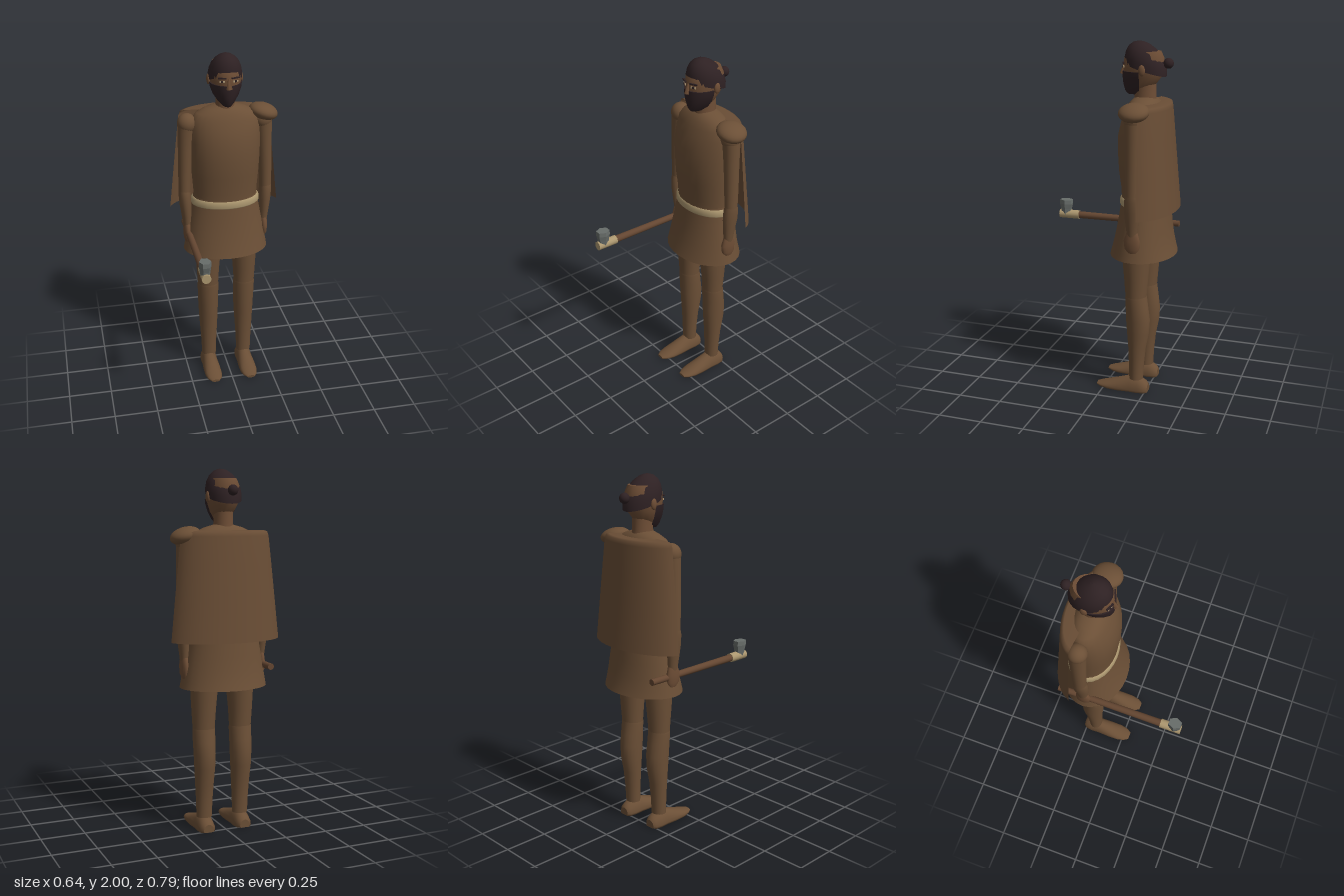
import * as THREE from 'three';

const mat = (name, color, side = THREE.FrontSide) => {
  const m = new THREE.MeshStandardMaterial({ color, side });
  m.name = name;
  return m;
};

// Lofted surface through elliptical rings: [y, cx, cz, rx, rz], bottom to top.
// tilt lifts each ring along z; a0..a1 limits it to a partial, open sweep.
function loft(rows, { n = 20, tilt = 0, a0 = 0, a1 = Math.PI * 2, caps = true } = {}) {
  const closed = a1 - a0 > 6.28, cols = closed ? n : n + 1;
  const pos = [], idx = [];
  const ring = ([y, cx, cz, rx, rz], t) => {
    for (let j = 0; j < cols; j++) {
      const a = a0 + (a1 - a0) * j / n, dz = Math.sin(a) * rz;
      pos.push(cx + Math.cos(a) * rx, y + dz * t, cz + dz);
    }
  };
  rows.forEach(r => ring(r, tilt));
  for (let i = 0; i < rows.length - 1; i++) for (let j = 0; j < n; j++) {
    const k = (j + 1) % cols, a = i * cols + j, b = i * cols + k;
    idx.push(a, a + cols, b, b, a + cols, b + cols);
  }
  if (caps) for (const top of [false, true]) {
    const r = rows[top ? rows.length - 1 : 0], s = pos.length / 3;
    ring(r, tilt);
    pos.push(r[1], r[0], r[2]);
    for (let j = 0; j < n; j++) {
      const a = s + j, b = s + (j + 1) % cols;
      idx.push(s + cols, top ? b : a, top ? a : b);
    }
  }
  const g = new THREE.BufferGeometry();
  g.setAttribute('position', new THREE.Float32BufferAttribute(pos, 3));
  g.setIndex(idx);
  g.computeVertexNormals();
  return g;
}

export function createModel() {
  const root = new THREE.Group();
  const cloth = mat('brownCloth', 0x6b4f36);
  const capeCloth = mat('capeCloth', 0x694d35, THREE.DoubleSide);
  const skin = mat('skin', 0x6d4d35);
  const hair = mat('darkHair', 0x2e2123, THREE.DoubleSide);
  const beltTan = mat('beltTan', 0xad9870);
  const wood = mat('handleWood', 0x644631);
  const steel = mat('axeSteel', 0x686d6a);
  const eyeTan = mat('eyeTan', 0xb09a78);

  const add = (name, geo, m, x = 0, y = 0, z = 0, parent = root) => {
    const o = new THREE.Mesh(geo, m);
    o.name = name;
    o.position.set(x, y, z);
    parent.add(o);
    return o;
  };
  const ball = (rx, ry, rz) => new THREE.SphereGeometry(1, 20, 14).scale(rx, ry, rz);

  // Torso, skirt and belt
  add('torso', loft([
    [1.12, 0, -0.21, 0.185, 0.13], [1.2, 0, -0.207, 0.187, 0.129], [1.3, 0, -0.203, 0.195, 0.14],
    [1.4, 0, -0.2, 0.2, 0.143], [1.5, 0, -0.2, 0.203, 0.142], [1.58, 0, -0.2, 0.2, 0.122],
    [1.63, 0, -0.2, 0.19, 0.103], [1.665, 0, -0.2, 0.165, 0.088], [1.69, 0, -0.2, 0.11, 0.068],
    [1.705, 0, -0.2, 0.055, 0.05]], { n: 28 }), cloth);
  add('skirt', loft([
    [0.82, 0, -0.203, 0.25, 0.187], [0.86, 0, -0.203, 0.243, 0.176], [0.92, 0, -0.204, 0.232, 0.162],
    [1.0, 0, -0.207, 0.217, 0.149], [1.1, 0, -0.21, 0.198, 0.136], [1.17, 0, -0.21, 0.186, 0.13]],
    { n: 28 }), cloth);
  add('belt', loft([
    [1.11, 0, -0.21, 0.195, 0.134], [1.118, 0, -0.21, 0.202, 0.14], [1.145, 0, -0.21, 0.2, 0.139],
    [1.155, 0, -0.21, 0.19, 0.132]], { n: 28 }), beltTan);

  // Cape hung from the shoulders, with its upper edge folded inward
  add('cape', loft([
    [1.08, 0, -0.2, 0.328, 0.195], [1.28, 0, -0.2, 0.307, 0.176], [1.48, 0, -0.2, 0.285, 0.158],
    [1.645, 0, -0.2, 0.266, 0.143], [1.668, 0, -0.2, 0.257, 0.138], [1.674, 0, -0.2, 0.235, 0.125],
    [1.676, 0, -0.2, 0.13, 0.07]],
    { n: 22, a0: Math.PI + 0.22, a1: Math.PI * 2 - 0.22, caps: false }), capeCloth);

  // Limbs, mirrored
  for (const s of [1, -1]) {
    const side = s > 0 ? 'left' : 'right';
    const limb = (name, rows, m = cloth) =>
      add(side + name, loft(rows.map(([y, x, ...r]) => [y, x * s, ...r])), m);
    limb('Thigh', [[0.58, 0.111, -0.189, 0.062, 0.06], [0.68, 0.111, -0.189, 0.068, 0.068],
      [0.78, 0.109, -0.188, 0.075, 0.077], [0.9, 0.107, -0.188, 0.08, 0.086]]);
    limb('Calf', [[0.075, 0.11, -0.193, 0.044, 0.04], [0.17, 0.11, -0.194, 0.047, 0.044],
      [0.27, 0.11, -0.197, 0.053, 0.051], [0.36, 0.11, -0.202, 0.058, 0.064],
      [0.44, 0.11, -0.201, 0.061, 0.069], [0.51, 0.111, -0.195, 0.063, 0.065],
      [0.575, 0.111, -0.189, 0.064, 0.062], [0.59, 0.111, -0.189, 0.061, 0.06]]);
    limb('UpperArm', [[1.16, 0.24, -0.2, 0.033, 0.037], [1.3, 0.237, -0.2, 0.037, 0.041],
      [1.45, 0.231, -0.2, 0.041, 0.044], [1.56, 0.225, -0.2, 0.047, 0.048],
      [1.61, 0.22, -0.2, 0.05, 0.052]]);
    add(side + 'Shoulder', ball(0.055, 0.058, 0.055), cloth, 0.218 * s, 1.605, -0.2);
    limb('Forearm', [[0.97, 0.228, -0.197, 0.023, 0.027], [1.04, 0.232, -0.197, 0.028, 0.036],
      [1.11, 0.236, -0.199, 0.034, 0.045], [1.17, 0.239, -0.2, 0.036, 0.045],
      [1.2, 0.24, -0.2, 0.033, 0.038]]);
    limb('Hand', [[0.875, 0.23, -0.2, 0.012, 0.024], [0.9, 0.23, -0.197, 0.02, 0.042],
      [0.945, 0.229, -0.196, 0.024, 0.046], [0.985, 0.229, -0.197, 0.021, 0.033],
      [1.0, 0.229, -0.197, 0.02, 0.026]], skin);

    // Foot lofted heel to toe, flattened at the sole
    const foot = loft([[-0.265, 0.03, 0.045], [-0.25, 0.044, 0.065], [-0.21, 0.05, 0.09],
      [-0.16, 0.048, 0.088], [-0.09, 0.052, 0.063], [-0.03, 0.052, 0.042], [0.015, 0.042, 0.028],
      [0.042, 0.024, 0.02]].map(([z, w, h]) => [z, 0, -0.012, w, h - 0.012])).rotateX(Math.PI / 2);
    const p = foot.attributes.position;
    for (let i = 0; i < p.count; i++) p.setY(i, Math.max(0, p.getY(i)));
    foot.computeVertexNormals();
    add(side + 'Foot', foot, cloth, 0.111 * s, 0, 0);
  }

  // Single shoulder guard on the left, sloping outward
  add('shoulderGuard', ball(0.084, 0.046, 0.084), cloth, 0.222, 1.648, -0.2).rotation.z = -0.28;

  // Neck and head
  add('neck', loft([[1.67, 0, -0.2, 0.06, 0.066], [1.71, 0, -0.2, 0.053, 0.06],
    [1.8, 0, -0.2, 0.053, 0.058]]), skin);
  add('head', loft([[1.735, 0, -0.155, 0.035, 0.05], [1.76, 0, -0.17, 0.058, 0.078],
    [1.81, 0, -0.184, 0.079, 0.103], [1.86, 0, -0.189, 0.088, 0.112],
    [1.91, 0, -0.192, 0.087, 0.111], [1.95, 0, -0.195, 0.07, 0.09]]), skin);
  add('hairCap', loft([[1.85, 0, -0.2, 0.093, 0.116], [1.885, 0, -0.2, 0.094, 0.116],
    [1.92, 0, -0.198, 0.088, 0.107], [1.952, 0, -0.196, 0.074, 0.09], [1.978, 0, -0.194, 0.052, 0.064],
    [1.993, 0, -0.192, 0.028, 0.034], [1.999, 0, -0.19, 0.006, 0.008]], { tilt: 0.3, n: 24 }), hair);
  add('hairBun', ball(0.028, 0.029, 0.028), hair, 0, 1.887, -0.327);
  add('beard', loft([[1.716, 0, -0.17, 0.028, 0.07], [1.735, 0, -0.177, 0.046, 0.092],
    [1.775, 0, -0.184, 0.072, 0.109], [1.815, 0, -0.186, 0.087, 0.115],
    [1.842, 0, -0.187, 0.091, 0.116]], { a0: 0, a1: Math.PI }), hair);
  const nose = new THREE.CylinderGeometry(0.006, 0.017, 0.06, 4);
  add('nose', nose, skin, 0, 1.853, -0.076).rotation.x = -0.2;
  for (const s of [1, -1]) {
    add('ear', ball(0.011, 0.03, 0.019), skin, 0.092 * s, 1.853, -0.203);
    const eye = new THREE.Group();
    eye.name = 'eye';
    eye.position.set(0.037 * s, 1.868, -0.086);
    eye.rotation.y = 0.38 * s;
    root.add(eye);
    add('eyeWhite', new THREE.BoxGeometry(0.03, 0.009, 0.006), eyeTan, 0, -0.002, 0, eye);
    add('pupil', new THREE.BoxGeometry(0.01, 0.01, 0.008), hair, 0, -0.002, 0.001, eye);
    add('eyebrow', new THREE.BoxGeometry(0.046, 0.007, 0.009), hair, 0, 0.017, 0.001, eye);
  }

  // Axe held level in the right hand, pointing forward
  const axe = new THREE.Group();
  axe.name = 'axe';
  axe.position.set(-0.223, 0.932, 0);
  root.add(axe);
  const rod = (name, r0, r1, z0, z1, m) =>
    add(name, new THREE.CylinderGeometry(r1, r0, z1 - z0, 14).rotateX(Math.PI / 2), m, 0, 0, (z0 + z1) / 2, axe);
  rod('axeHandle', 0.018, 0.021, -0.35, 0.28, wood);
  rod('axeCollar', 0.026, 0.026, 0.272, 0.394, beltTan);
  const headShape = loft([[-0.005, 0, 0, 0.025, 0.03], [0.035, 0, 0, 0.03, 0.034],
    [0.065, 0, 0, 0.035, 0.042], [0.09, 0, 0, 0.033, 0.04]], { n: 6 }).toNonIndexed();
  headShape.computeVertexNormals();
  add('axeHead', headShape, steel, 0, 0, 0.355, axe);

  return root;
}
